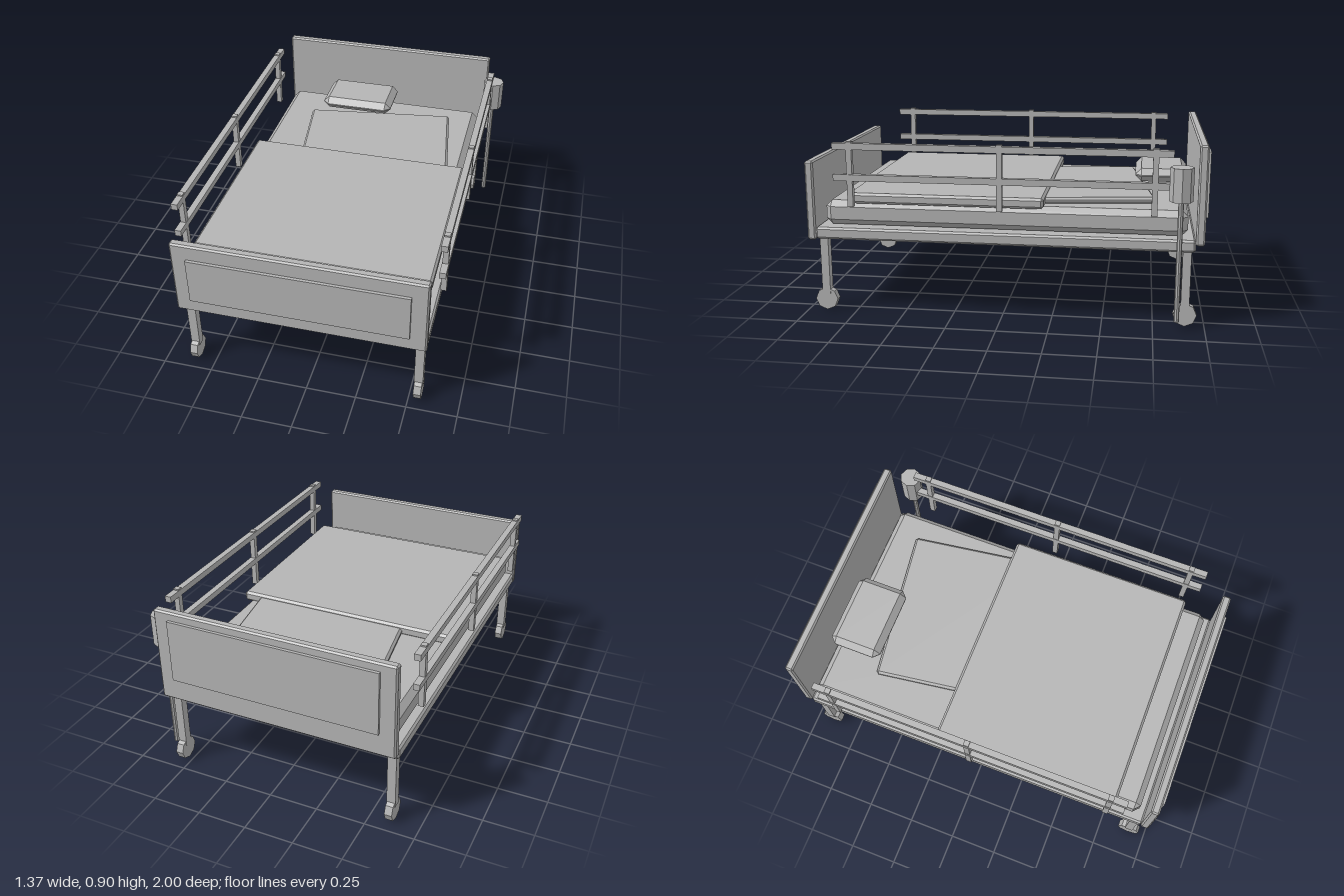
import * as THREE from 'three';
import { ConvexGeometry } from 'three/addons/geometries/ConvexGeometry.js';

const grey = new THREE.MeshStandardMaterial({ color: 0xb4b4b4 });
grey.name = 'plain grey';

// Box with chamfered edges and corners, given its size and chamfer
function chamferBox(w, h, d, c) {
  const points = [];
  for (const sx of [-1, 1]) for (const sy of [-1, 1]) for (const sz of [-1, 1]) {
    const x = w / 2, y = h / 2, z = d / 2;
    points.push(
      new THREE.Vector3(sx * x, sy * (y - c), sz * (z - c)),
      new THREE.Vector3(sx * (x - c), sy * y, sz * (z - c)),
      new THREE.Vector3(sx * (x - c), sy * (y - c), sz * z));
  }
  return new ConvexGeometry(points);
}

// Octagonal cylinder with flat faces
function octagon(radius, height) {
  return new THREE.CylinderGeometry(radius, radius, height, 8).toNonIndexed();
}

export function createModel() {
  const bed = new THREE.Group();
  bed.name = 'hospitalBed';

  const add = (name, geometry, x, y, z) => {
    geometry.computeVertexNormals();
    const mesh = new THREE.Mesh(geometry, grey);
    mesh.name = name;
    mesh.position.set(x, y, z);
    bed.add(mesh);
    return mesh;
  };
  // Add a box from its lower and upper limits along each axis
  const addBox = (name, [x0, x1], [y0, y1], [z0, z1], chamfer = 0) => {
    const size = [x1 - x0, y1 - y0, z1 - z0];
    const geometry = chamfer ? chamferBox(...size, chamfer) : new THREE.BoxGeometry(...size);
    return add(name, geometry, (x0 + x1) / 2, (y0 + y1) / 2, (z0 + z1) / 2);
  };

  // Bed base and end boards
  const boardX = [-0.642, 0.582], panelX = [-0.563, 0.502];
  addBox('frame', boardX, [0.38, 0.44], [-0.943, 0.943], 0.01);
  addBox('headboard', boardX, [0.413, 0.9], [-0.985, -0.942], 0.008);
  addBox('footboard', boardX, [0.374, 0.777], [0.942, 0.985], 0.008);
  addBox('headboardPanel', panelX, [0.536, 0.858], [-1, -0.98]);
  addBox('footboardPanel', panelX, [0.455, 0.697], [0.98, 1]);

  // Bedding
  addBox('mattress', [-0.607, 0.543], [0.445, 0.57], [-0.905, 0.902], 0.03);
  addBox('blanket', [-0.624, 0.56], [0.563, 0.617], [-0.207, 0.776], 0.012);
  addBox('pillow', [-0.363, 0.045], [0.605, 0.675], [-0.923, -0.643], 0.032);
  const sheet = add('foldedSheet', chamferBox(0.82, 0.034, 0.72, 0.012), 0.035, 0.585, -0.335);
  sheet.rotation.y = 0.143;

  // Legs and castor wheels
  for (const x of [-0.602, 0.544]) for (const z of [-0.904, 0.906]) {
    addBox('leg', [x - 0.022, x + 0.022], [0.085, 0.39], [z - 0.021, z + 0.021]);
    add('castorWheel', octagon(0.058, 0.038), x, 0.058, z).rotation.z = Math.PI / 2;
  }

  // Side rails
  for (const x of [-0.668, 0.61]) {
    for (const y of [0.708, 0.863]) {
      addBox('railBar', [x - 0.016, x + 0.016], [y - 0.016, y + 0.016], [-0.823, 0.823]);
    }
    for (const z of [-0.74, 0, 0.74]) {
      addBox('railPost', [x - 0.014, x + 0.014], [0.562, 0.886], [z - 0.014, z + 0.014]);
    }
  }

  // Bedside pole with its canister
  add('pole', octagon(0.013, 0.6), 0.626, 0.345, -0.862);
  add('canister', octagon(0.056, 0.162), 0.626, 0.723, -0.862);

  return bed;
}
